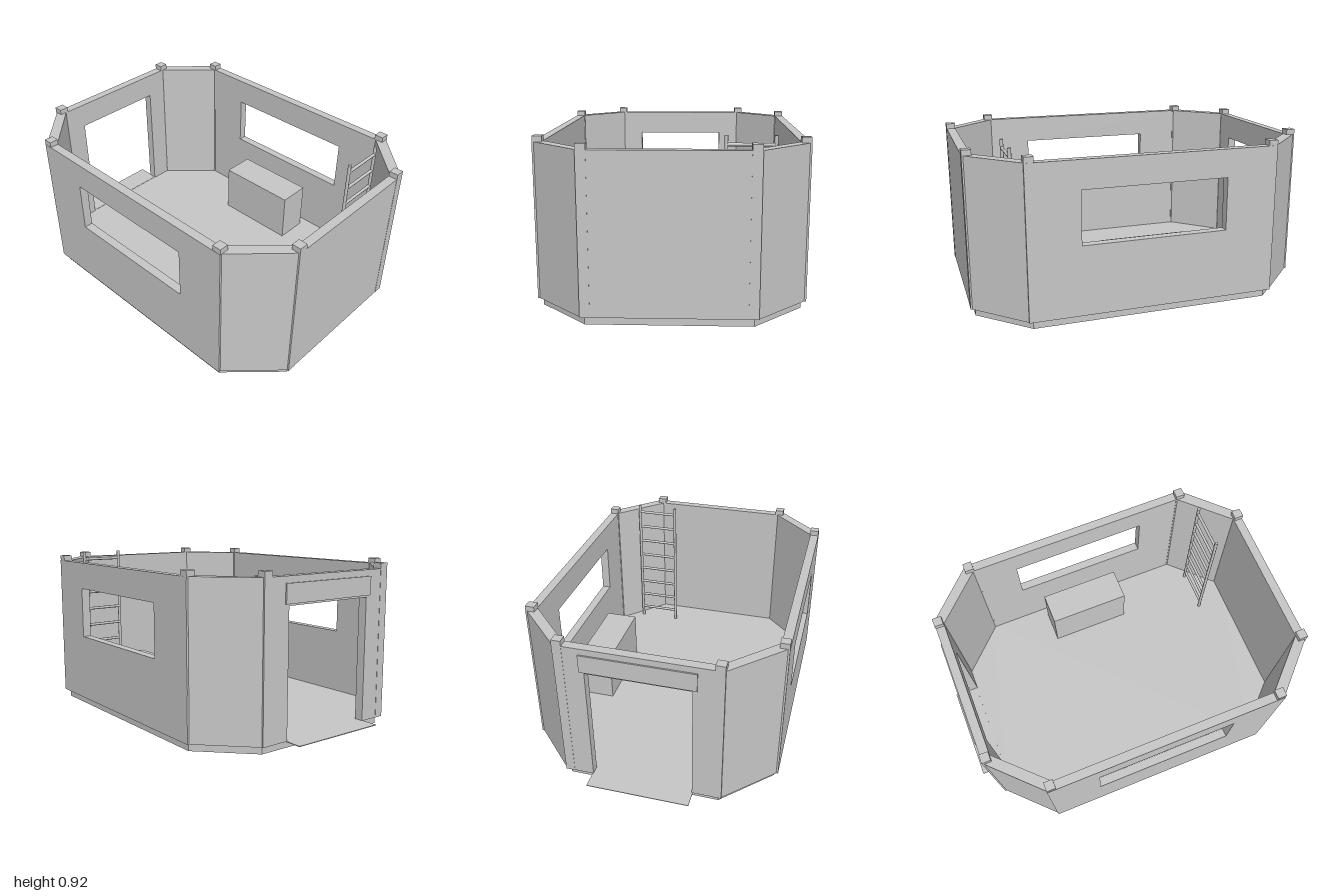
import * as THREE from 'three';

export function createModel() {
  const model = new THREE.Group();
  model.name = 'watchRoom';
  const grey = new THREE.MeshStandardMaterial({ color: 0xc6c6c6 });
  grey.name = 'plain grey';

  const add = (name, geometry, parent = model) => {
    const mesh = new THREE.Mesh(geometry, grey);
    mesh.name = name;
    parent.add(mesh);
    return mesh;
  };
  // Box given by its minimum and maximum corners
  const box = (name, x0, x1, y0, y1, z0, z1, parent) => {
    const g = new THREE.BoxGeometry(x1 - x0, y1 - y0, z1 - z0);
    g.translate((x0 + x1) / 2, (y0 + y1) / 2, (z0 + z1) / 2);
    return add(name, g, parent);
  };
  // Upright prism from a plan outline of [x, z] points
  const prism = (name, outline, y0, y1) => {
    const shape = new THREE.Shape(outline.map(([x, z]) => new THREE.Vector2(x, -z)));
    const g = new THREE.ExtrudeGeometry(shape, { depth: y1 - y0, bevelEnabled: false });
    g.rotateX(-Math.PI / 2).translate(0, y0, 0);
    return add(name, g);
  };
  const rect = (path, u0, u1, v0, v1) => {
    path.moveTo(u0, v0);
    path.lineTo(u1, v0);
    path.lineTo(u1, v1);
    path.lineTo(u0, v1);
    path.closePath();
    return path;
  };

  const FLOOR = 0.045, TOP = 0.877, CAP = 0.907, T = 0.05;

  // Floor slab with cut corners
  prism('floor', [
    [0.42, 0.973], [0.68, 0.71], [0.68, -0.615], [0.42, -0.877],
    [-0.42, -0.877], [-0.68, -0.615], [-0.68, 0.71], [-0.42, 0.973],
  ], 0, FLOOR);

  // Front wall
  box('frontWall', -0.44, 0.44, FLOOR, TOP, 0.997 - T, 0.997);

  // Side walls with a long window each
  for (const s of [-1, 1]) {
    const shape = rect(new THREE.Shape(), -0.735, 0.643, FLOOR, TOP);
    shape.holes.push(rect(new THREE.Path(), -0.452, 0.352, 0.43, 0.722));
    const g = new THREE.ExtrudeGeometry(shape, { depth: T, bevelEnabled: false });
    g.rotateY(Math.PI / 2).translate(s > 0 ? 0.705 - T : -0.705, 0, 0);
    add(s > 0 ? 'leftWall' : 'rightWall', g);
  }

  // Back wall with a doorway, open at the bottom
  const back = new THREE.Shape();
  [[-0.44, FLOOR], [-0.28, FLOOR], [-0.28, 0.73], [0.28, 0.73],
    [0.28, FLOOR], [0.44, FLOOR], [0.44, TOP], [-0.44, TOP]]
    .forEach(([x, y], i) => (i ? back.lineTo(x, y) : back.moveTo(x, y)));
  const backGeo = new THREE.ExtrudeGeometry(back, { depth: T, bevelEnabled: false });
  add('backWall', backGeo.translate(0, 0, -0.905));

  // Slanted corner walls and the posts beside them
  for (const sx of [-1, 1]) {
    for (const sz of [-1, 1]) {
      const zAt = (z) => (sz > 0 ? z : -z + 0.092);
      prism('cornerWall', [[0.44, 0.99], [0.695, 0.735], [0.655, 0.69], [0.405, 0.945]]
        .map(([x, z]) => [sx * x, zAt(z)]), FLOOR, TOP);
      for (const [x, z] of [[0.415, 0.973], [0.678, 0.71]]) {
        const h = 0.0255;
        const cx = sx * x, cz = zAt(z);
        box('cornerPost', cx - h, cx + h, FLOOR, CAP, cz - h, cz + h);
      }
    }
  }

  // Panel over the doorway and the thin step plate outside it
  box('doorPanel', -0.305, 0.305, 0.74, 0.842, -0.913, -0.903);
  box('stepPlate', -0.285, 0.285, FLOOR - 0.002, FLOOR + 0.002, -1, -0.86);

  // Block standing on the floor
  box('bench', 0.41, 0.6, FLOOR, 0.343, -0.232, 0.258);

  // Ladder in the front corner
  const ladder = new THREE.Group();
  ladder.name = 'ladder';
  model.add(ladder);
  for (const x of [0.275, 0.522]) {
    const rail = new THREE.CylinderGeometry(0.0095, 0.0095, 0.92 - FLOOR, 8);
    add('ladderRail', rail.translate(x, (0.92 + FLOOR) / 2, 0.77), ladder);
  }
  for (let i = 0; i < 8; i++) {
    const rung = new THREE.CylinderGeometry(0.009, 0.009, 0.247, 8);
    rung.rotateZ(Math.PI / 2).translate(0.3985, 0.873 - i * 0.108, 0.77);
    add('ladderRung', rung, ladder);
  }
  return model;
}
